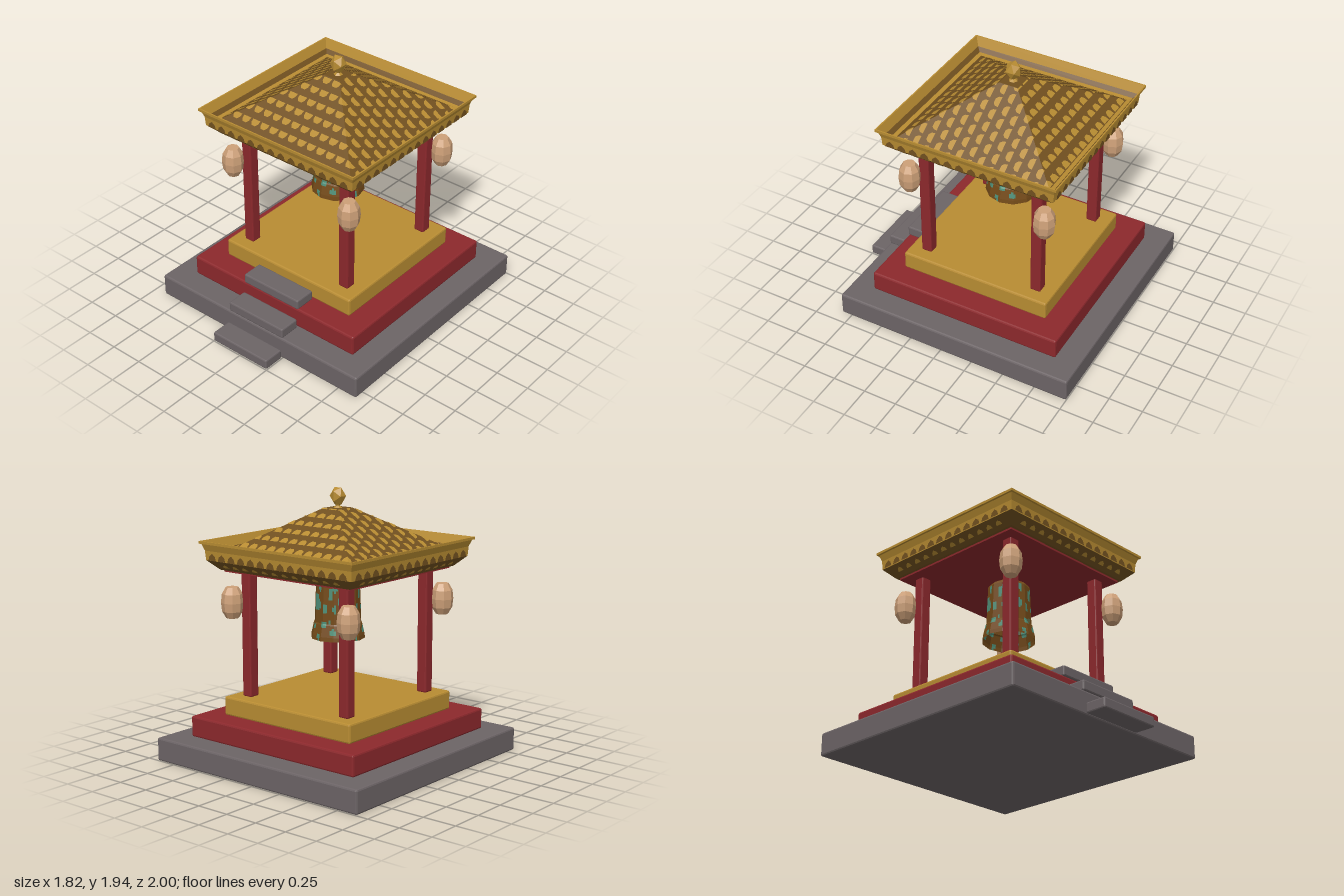
import * as THREE from 'three';
import { RoundedBoxGeometry } from 'three/addons/geometries/RoundedBoxGeometry.js';

const mat = (name, color, side = THREE.FrontSide) => {
  const m = new THREE.MeshStandardMaterial({ color, side, flatShading: true });
  m.name = name;
  return m;
};

export function createModel() {
  const stone = mat('grey stone', 0x6c6466);
  const red = mat('red lacquer', 0x8c282c);
  const gold = mat('gold', 0xb88c32);
  const brown = mat('tile brown', 0x71501f);
  const bronze = mat('aged bronze', 0x744a18, THREE.DoubleSide);
  const patina = mat('green patina', 0x4f8f78, THREE.DoubleSide);
  const paper = mat('lantern paper', 0xcda078);

  const model = new THREE.Group();
  model.name = 'bellPavilion';
  const pavilion = new THREE.Group();
  pavilion.name = 'pavilion';
  pavilion.position.z = -0.085;
  model.add(pavilion);

  const add = (name, geo, material, x = 0, y = 0, z = 0, parent = pavilion) => {
    const mesh = new THREE.Mesh(geo, material);
    mesh.name = name;
    mesh.position.set(x, y, z);
    parent.add(mesh);
    return mesh;
  };
  // Chamfered block spanning y0 to y1
  const block = (name, material, w, d, y0, y1, x = 0, z = 0, bevel = 0.013, parent = pavilion) =>
    add(name, new RoundedBoxGeometry(w, y1 - y0, d, 1, bevel), material, x, (y0 + y1) / 2, z, parent);
  const lathe = (pts, sides) => new THREE.LatheGeometry(pts.map(p => new THREE.Vector2(...p)), sides);
  // Four-sided lathe, with profile distances measured to the flat sides
  const squareLathe = pts => lathe(pts.map(([r, y]) => [r * Math.SQRT2, y]), 4).rotateY(Math.PI / 4);

  // Stepped platform
  block('stoneBase', stone, 1.82, 1.83, 0, 0.17);
  block('redTier', red, 1.48, 1.48, 0.17, 0.323);
  block('goldTier', gold, 1.145, 1.145, 0.323, 0.46);

  // Front steps
  [[0.005, 0.92], [0.172, 0.748], [0.323, 0.58]].forEach(([y, z]) =>
    block('step', stone, 0.5, 0.16, y, y + 0.075, 0, z, 0.01, model));

  // Posts with a lantern outside each corner
  const lanternGeo = lathe([[0, -0.11], [0.045, -0.11], [0.073, -0.062], [0.08, 0],
    [0.073, 0.062], [0.045, 0.11], [0, 0.11]], 8);
  for (const sx of [-1, 1]) for (const sz of [-1, 1]) {
    block('post', red, 0.08, 0.08, 0.46, 1.37, sx * 0.44, sz * 0.44, 0.009);
    add('lantern', lanternGeo, paper, sx * 0.525, 1.138, sz * 0.525);
  }

  // Ceiling and eaves
  add('ceiling', new THREE.BoxGeometry(1.12, 0.02, 1.12), red, 0, 1.367, 0);
  add('eaveSoffit', new THREE.BoxGeometry(1.16, 0.01, 1.16), brown, 0, 1.376, 0);
  add('lowerEave', squareLathe([[0.58, 1.371], [0.65, 1.44]]), brown);
  add('eave', squareLathe([[0.65, 1.44], [0.655, 1.508], [0.672, 1.555], [0.685, 1.557], [0.685, 1.575],
    [0.675, 1.575], [0.645, 1.51]]), gold);
  add('eaveInnerBand', squareLathe([[0.645, 1.51], [0.618, 1.483]]), brown);
  add('eaveInnerTrim', squareLathe([[0.618, 1.483], [0.58, 1.478]]), gold);

  // Scalloped ornament on the four eave sides
  const bump = new THREE.Shape([[-0.036, 0], [0.036, 0], [0.026, 0.03], [0, 0.05], [-0.026, 0.03]]
    .map(p => new THREE.Vector2(...p)));
  const bumpGeo = new THREE.ShapeGeometry(bump);
  const dropGeo = new THREE.ShapeGeometry(bump).scale(0.75, 0.7, 1);
  for (let k = 0; k < 4; k++) {
    const side = new THREE.Group();
    side.name = 'eaveOrnament';
    side.rotation.y = k * Math.PI / 2;
    pavilion.add(side);
    for (let i = 0; i < 14; i++) {
      const x = (i - 6.5) * 0.09;
      add('scallop', bumpGeo, brown, x, 1.442, 0.657, side);
      if (Math.abs(x) < 0.56)
        add('goldDrop', dropGeo, gold, x, 1.393, 0.607, side).rotation.x = Math.PI / 4;
    }
  }

  // Hipped roof
  const slope = 0.318 / 0.52;
  add('roof', squareLathe([[0.59, 1.477], [0.07, 1.795], [0, 1.795]]), brown);

  // Clip a polygon of [x, z] points to where f >= 0
  const clip = (poly, f) => poly.flatMap((p, i) => {
    const q = poly[(i + 1) % poly.length], a = f(p), b = f(q), out = a >= 0 ? [p] : [];
    if ((a >= 0) !== (b >= 0)) {
      const t = a / (a - b);
      out.push([p[0] + (q[0] - p[0]) * t, p[1] + (q[1] - p[1]) * t]);
    }
    return out;
  });
  const tile = [[-0.033, -0.019], [-0.03, 0.006], [-0.016, 0.022], [0.016, 0.022], [0.03, 0.006], [0.033, -0.019]];
  const limits = [p => p[1] - p[0], p => p[1] + p[0], p => p[1] - 0.075, p => 0.588 - p[1]];

  // Gold tiles in staggered rows, trimmed at the ridges
  for (let k = 0; k < 4; k++) {
    const c = Math.cos(k * Math.PI / 2), s = Math.sin(k * Math.PI / 2), pos = [];
    for (let row = 0; row < 14; row++) for (let col = 0; col < 15; col++) {
      const cx = (col - 7 + (row % 2 ? 0.25 : -0.25)) * 0.083, cz = (row - 6.5) * 0.083 - 0.025;
      let poly = tile.map(([x, z]) => [(x + cx) * c - (z + cz) * s, (x + cx) * s + (z + cz) * c]);
      for (const f of limits) poly = clip(poly, f);
      const v = poly.map(([x, z]) => [x, 1.481 + (0.59 - z) * slope, z]);
      for (let i = 1; i < v.length - 1; i++) pos.push(...v[0], ...v[i], ...v[i + 1]);
    }
    const geo = new THREE.BufferGeometry();
    geo.setAttribute('position', new THREE.Float32BufferAttribute(pos, 3));
    geo.computeVertexNormals();
    add('roofTiles', geo, gold).rotation.y = k * Math.PI / 2;
  }

  // Roof finial
  add('finialBase', lathe([[0.035, 1.793], [0.015, 1.81], [0.035, 1.845]], 6), gold);
  add('finial', new THREE.IcosahedronGeometry(0.058, 0).scale(1, 1.2, 1), gold, 0, 1.877, 0);

  // Bell: twelve-sided wall divided into small cells for the patina
  const outline = [[0.193, 0.875], [0.19, 0.905], [0.172, 0.985], [0.166, 0.995], [0.163, 1.1],
    [0.156, 1.28], [0.146, 1.3], [0.075, 1.343], [0.0, 1.352]];
  const wall = [];
  outline.slice(0, -1).forEach(([r, y], i) => {
    const [r2, y2] = outline[i + 1], n = Math.max(1, Math.round((y2 - y) / 0.016));
    for (let j = 0; j < n; j++) wall.push([r + (r2 - r) * j / n, y + (y2 - y) * j / n]);
  });
  wall.push(outline.at(-1));
  const segs = 72, bell = lathe(wall, segs), p = bell.attributes.position;
  for (let i = 0; i < p.count; i++) {
    const a = Math.atan2(p.getX(i), p.getZ(i)) + 2 * Math.PI, step = Math.PI / 6;
    const f = Math.cos(step / 2) / Math.cos((a % step) - step / 2);
    p.setXYZ(i, p.getX(i) * f, p.getY(i), p.getZ(i) * f);
  }
  // Patina spots as [angle, height, half angle, half height], repeated each quarter turn
  const spots = [[-0.6, 1.16, 0.3, 0.045], [-0.38, 1.12, 0.25, 0.035], [-0.25, 1.25, 0.1, 0.03], [0.1, 1.1, 0.1, 0.03],
    [0.35, 1.2, 0.09, 0.045], [0.6, 1.25, 0.13, 0.03], [0.55, 1.1, 0.1, 0.03], [0.02, 0.99, 0.13, 0.025],
    [-0.55, 0.965, 0.16, 0.02], [0.5, 0.94, 0.12, 0.025], [-0.15, 0.9, 0.1, 0.02], [0.3, 1.01, 0.08, 0.015]];
  const quarter = Math.PI / 2, clean = [], green = [];
  const index = bell.index.array, rows = wall.length - 1;
  for (let i = 0; i < segs; i++) for (let j = 0; j < rows; j++) {
    const a = (i + 0.5) / segs * 2 * Math.PI, y = (wall[j][1] + wall[j + 1][1]) / 2;
    const hit = spots.some(([sa, sy, ra, ry]) => {
      const d = a - sa, da = d - quarter * Math.round(d / quarter);
      return (da / ra) ** 2 + ((y - sy) / ry) ** 2 < 1;
    });
    const start = (i * rows + j) * 6;
    (hit ? green : clean).push(...index.slice(start, start + 6));
  }
  bell.setIndex([...clean, ...green]);
  bell.addGroup(0, clean.length, 0);
  bell.addGroup(clean.length, green.length, 1);
  add('bell', bell, [bronze, patina]);
  add('bellHanger', new THREE.CylinderGeometry(0.025, 0.025, 0.03, 8), bronze, 0, 1.355, 0);

  return model;
}
